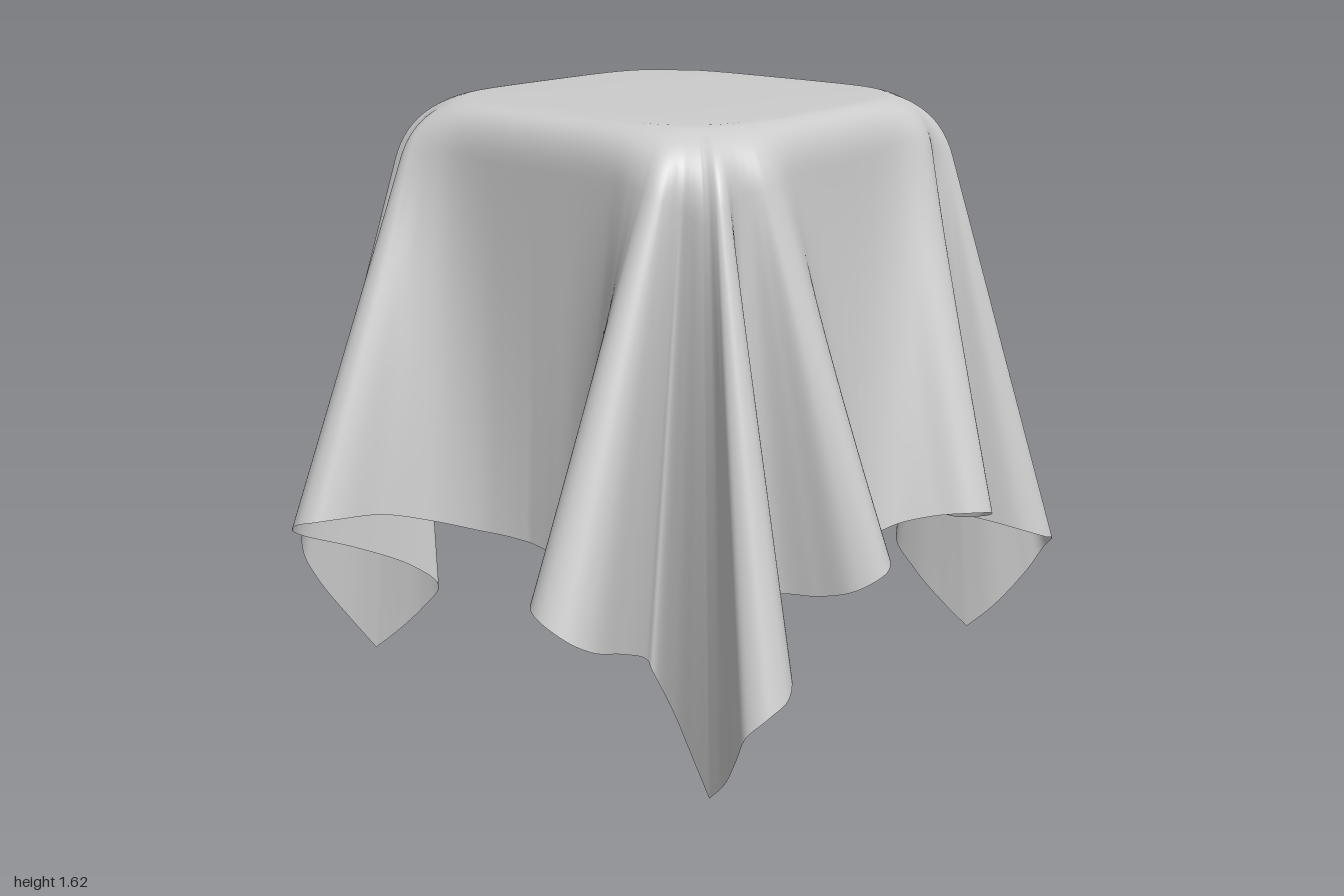
import * as THREE from 'three';

const TOP = 1.615, HALF = 0.555;

// Hem of one quadrant as rows of x, y, z, t. t is where the strip of cloth leaves
// the table edge: 0 = middle of the side, 1 = corner, 2 = middle of the front.
const sideHem = [
  [0.595, 0.50, 0.00, 0.00], [0.605, 0.50, 0.08, 0.15], [0.625, 0.50, 0.16, 0.31],
  [0.69, 0.52, 0.26, 0.50], [0.81, 0.56, 0.325, 0.64], [0.93, 0.575, 0.36, 0.72],
  [0.985, 0.573, 0.395, 0.75], [1.00, 0.56, 0.44, 0.77], [0.975, 0.52, 0.50, 0.79],
  [0.92, 0.48, 0.523, 0.81], [0.78, 0.41, 0.49, 0.84], [0.63, 0.32, 0.435, 0.87],
  [0.567, 0.25, 0.40, 0.90], [0.568, 0.16, 0.47, 0.935], [0.595, 0.065, 0.56, 0.97],
  [0.62, 0.00, 0.63, 1.00],
];
const frontHem = [
  [0.62, 0.00, 0.63, 1.00], [0.65, 0.08, 0.70, 1.03], [0.70, 0.20, 0.775, 1.055],
  [0.717, 0.28, 0.815, 1.07], [0.685, 0.33, 0.855, 1.08], [0.625, 0.355, 0.865, 1.095],
  [0.56, 0.385, 0.825, 1.115], [0.505, 0.41, 0.73, 1.14], [0.46, 0.425, 0.64, 1.17],
  [0.405, 0.44, 0.597, 1.21], [0.36, 0.46, 0.64, 1.25], [0.335, 0.475, 0.74, 1.29],
  [0.315, 0.51, 0.835, 1.33], [0.255, 0.55, 0.883, 1.40], [0.195, 0.56, 0.855, 1.48],
  [0.14, 0.55, 0.78, 1.60], [0.08, 0.53, 0.71, 1.77], [0.035, 0.517, 0.685, 1.90],
  [0.00, 0.515, 0.68, 2.00],
];

const bump = (t, centre, width) => Math.exp(-(((t - centre) / width) ** 2));

// Point on the rounded-square table edge, dipping towards the corner
function tableEdge(t) {
  const a = Math.min(1, 2 - t), b = Math.min(1, t);
  const k = HALF / Math.pow(a ** 8 + b ** 8, 1 / 8);
  return new THREE.Vector3(a * k, TOP - 0.012 - 0.03 * bump(t, 1, 0.35), b * k);
}

// Smooth samples of one hem stretch, each with its place along the table edge
function sampleHem(rows, n) {
  const hem = new THREE.CatmullRomCurve3(rows.map(r => new THREE.Vector3(r[0], r[1], r[2])));
  const along = new THREE.CatmullRomCurve3(rows.map(r => new THREE.Vector3(r[3], 0, 0)));
  return Array.from({ length: n + 1 }, (_, i) => ({
    h: hem.getPoint(i / n),
    t: THREE.MathUtils.clamp(along.getPoint(i / n).x, 0, 2),
  }));
}

// One strip of cloth: nearly flat top, rolled shoulder, fall to the hem.
// Folds fall straight; the panels between them hang steeply, then flare.
function makeStrip({ h, t }) {
  const e = tableEdge(t);
  const flare = 1 + 0.7 * THREE.MathUtils.smoothstep(Math.abs(1 - t), 0.35, 0.8);
  const fall = s => {
    const out = s ** flare;
    return new THREE.Vector3(e.x + (h.x - e.x) * out, e.y + (h.y - e.y) * s, e.z + (h.z - e.z) * out);
  };
  const flat = 0.85 - 0.06 * bump(t, 1, 0.35);
  const inner = new THREE.Vector3(e.x * flat, TOP - 0.006, e.z * flat);
  const roll = new THREE.QuadraticBezierCurve3(inner, e, fall(0.11));
  const pts = [];
  for (let i = 0; i < 6; i++) {
    const s = i / 6;
    pts.push(new THREE.Vector3(inner.x * s, TOP - 0.006 * s ** 3, inner.z * s));
  }
  for (let i = 0; i < 12; i++) pts.push(roll.getPoint(i / 12));
  for (let i = 0; i <= 24; i++) pts.push(fall(0.11 + 0.89 * i / 24));
  return { pts, t };
}

function clothGeometry() {
  const quadrant = [...sampleHem(sideHem, 105).slice(0, -1), ...sampleHem(frontHem, 126)];
  const strips = quadrant.map(makeStrip);

  // Mirror the quadrant into a closed loop; the last one has its side fold
  // pulled slightly towards the middle
  const loop = [];
  for (const [sx, sz, reversed, pull] of [
    [1, 1, false, 0], [-1, 1, true, 0], [-1, -1, false, 0], [1, -1, true, 0.07],
  ]) {
    const part = reversed ? [...strips].reverse() : strips;
    for (const { pts, t } of part.slice(0, -1)) {
      const kz = sz * (1 - pull * bump(t, 0.85, 0.2));
      loop.push(pts.map(p => [p.x * sx, p.y, p.z * kz]));
    }
  }

  // The rings share a single centre vertex (index 0)
  const rows = loop[0].length - 1, n = loop.length;
  const positions = [0, TOP, 0], index = [];
  for (const strip of loop) for (const p of strip.slice(1)) positions.push(...p);
  const id = (u, v) => 1 + (u % n) * rows + v;
  for (let u = 0; u < n; u++) {
    index.push(0, id(u + 1, 0), id(u, 0));
    for (let v = 0; v < rows - 1; v++) {
      const a = id(u, v), b = id(u + 1, v), c = id(u + 1, v + 1), d = id(u, v + 1);
      index.push(a, b, d, b, c, d);
    }
  }
  const geometry = new THREE.BufferGeometry();
  geometry.setAttribute('position', new THREE.Float32BufferAttribute(positions, 3));
  geometry.setIndex(index);
  geometry.computeVertexNormals();
  return geometry;
}

export function createModel() {
  const group = new THREE.Group();
  group.name = 'drapedCloth';
  const material = new THREE.MeshStandardMaterial({ color: 0xcccccc, side: THREE.DoubleSide });
  const cloth = new THREE.Mesh(clothGeometry(), material);
  cloth.name = 'tablecloth';
  group.add(cloth);
  return group;
}
